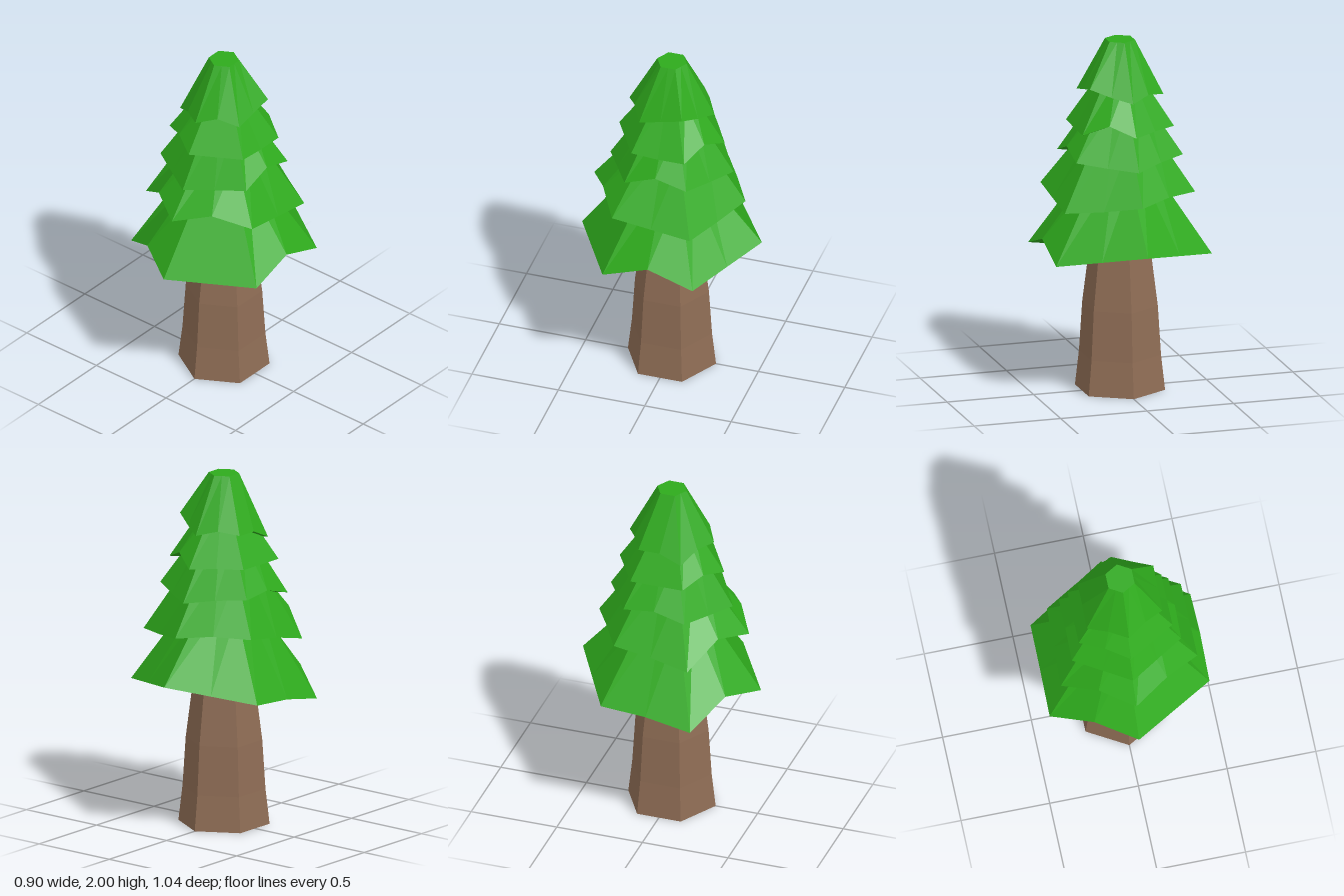
import * as THREE from 'three';

const leafMaterial = new THREE.MeshStandardMaterial({ color: 0x2eaa1c, flatShading: true });
const barkMaterial = new THREE.MeshStandardMaterial({ color: 0x8f6d55, flatShading: true });

// Twelve points round a hexagon: six corners with a midpoint on every edge, starting at +z.
// radius(k) gives the corner radius, height(i) the height of each of the twelve points.
function hexRing(radius, height) {
  const corner = (k) => {
    const a = (k % 6) * Math.PI / 3;
    return new THREE.Vector3(Math.sin(a), 0, Math.cos(a)).multiplyScalar(radius(k % 6));
  };
  return Array.from({ length: 12 }, (_, i) => {
    const p = corner(Math.floor(i / 2)).lerp(corner(Math.ceil(i / 2)), 0.5);
    p.y = height(i);
    return p;
  });
}

// Skin neighbouring rings with flat triangles.
function skin(rings) {
  const points = [];
  for (let r = 0; r < rings.length - 1; r++) {
    for (let i = 0; i < 12; i++) {
      const j = (i + 1) % 12;
      const [a, b, c, d] = [rings[r][i], rings[r][j], rings[r + 1][j], rings[r + 1][i]];
      points.push(a, b, c, a, c, d);
    }
  }
  const geometry = new THREE.BufferGeometry().setFromPoints(points);
  geometry.computeVertexNormals();
  return geometry;
}

// A hollow skirt of foliage with an uneven hem and a thick lower lip.
function foliageTier({ hem, radii, top, topY }) {
  const base = hem.reduce((sum, y) => sum + y, 0) / 12;
  const ceiling = base + (topY - base) * 0.6;
  return skin([
    hexRing(() => 0, () => ceiling),
    hexRing(() => top * 0.9, () => ceiling),
    hexRing((k) => radii[k] * 0.8, (i) => hem[i]),
    hexRing((k) => radii[k], (i) => hem[i]),
    hexRing(() => top, () => topY),
    hexRing(() => 0, () => topY),
  ]);
}

const even = (r) => Array(6).fill(r);

// Hem heights run corner, midpoint, corner... from the front towards the model's left.
const tiers = [
  { radii: even(0.52), top: 0.2, topY: 1.25,
    hem: [0.8, 0.8, 0.8, 0.89, 0.8, 0.84, 0.88, 0.84, 0.8, 0.78, 0.73, 0.86] },
  { radii: [0.45, 0.45, 0.45, 0.425, 0.425, 0.437], top: 0.2, topY: 1.47,
    hem: [1.15, 1.21, 1.15, 1.12, 1.09, 1.11, 1.14, 1.16, 1.15, 1.12, 1.07, 1.2] },
  { radii: even(0.356), top: 0.15, topY: 1.65,
    hem: [1.31, 1.33, 1.345, 1.41, 1.36, 1.34, 1.325, 1.35, 1.36, 1.38, 1.33, 1.32] },
  { radii: even(0.305), top: 0.12, topY: 1.79,
    hem: [1.52, 1.52, 1.52, 1.51, 1.51, 1.57, 1.51, 1.52, 1.52, 1.52, 1.52, 1.56] },
  { radii: even(0.246), top: 0.085, topY: 2,
    hem: [1.7, 1.74, 1.7, 1.73, 1.76, 1.72, 1.69, 1.72, 1.7, 1.7, 1.645, 1.7] },
];

export function createModel() {
  const tree = new THREE.Group();
  tree.name = 'pineTree';

  // Six-sided tapering trunk
  const profile = [[0, 0], [0.255, 0], [0.232, 0.2], [0.214, 0.48], [0.167, 0.85], [0.14, 1.1], [0, 1.1]];
  const trunk = new THREE.Mesh(
    new THREE.LatheGeometry(profile.map(([r, y]) => new THREE.Vector2(r, y)), 6), barkMaterial);
  trunk.name = 'trunk';
  tree.add(trunk);

  // Stacked foliage, lowest first
  tiers.forEach((tier, n) => {
    const mesh = new THREE.Mesh(foliageTier(tier), leafMaterial);
    mesh.name = `foliageTier${n + 1}`;
    tree.add(mesh);
  });
  return tree;
}
